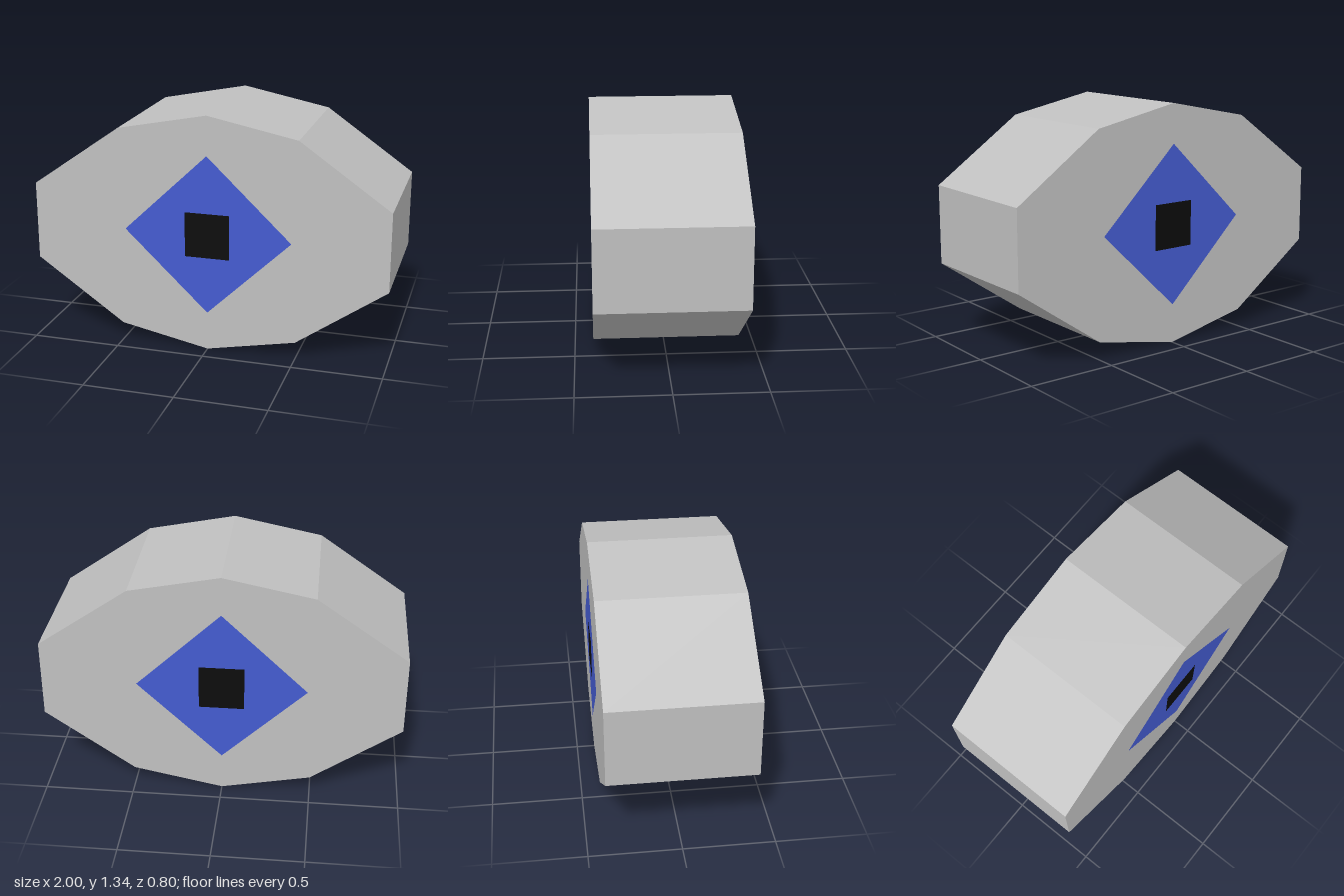
import * as THREE from 'three';

const CENTRE_Y = 0.67;
const HALF_DEPTH = 0.4;

const shapeFrom = (points) => new THREE.Shape(points.map(([x, y]) => new THREE.Vector2(x, y)));

// Slab of the given outline, centred on z = 0
function slab(name, points, halfDepth, material) {
  const geometry = new THREE.ExtrudeGeometry(shapeFrom(points), { depth: 2 * halfDepth, bevelEnabled: false });
  geometry.translate(0, CENTRE_Y, -halfDepth);
  const mesh = new THREE.Mesh(geometry, material);
  mesh.name = name;
  return mesh;
}

export function createModel() {
  const grey = new THREE.MeshStandardMaterial({ name: 'body grey', color: 0xc0c0c0, flatShading: true });
  const blue = new THREE.MeshStandardMaterial({ name: 'iris blue', color: 0x445bd0 });
  const black = new THREE.MeshStandardMaterial({ name: 'pupil black', color: 0x0c0c0c });

  const model = new THREE.Group();
  model.name = 'eyeBlock';

  // Ten-sided body
  const outline = [
    [0, -0.67], [0.5, -0.57], [1, -0.22], [1, 0.22], [0.5, 0.57],
    [0, 0.67], [-0.5, 0.57], [-1, 0.22], [-1, -0.22], [-0.5, -0.57],
  ];
  model.add(slab('body', outline, HALF_DEPTH - 0.002, grey));

  // Painted iris and pupil, the same on the front and the back
  const diamond = [[0, -0.45], [0.47, 0], [0, 0.45], [-0.47, 0]];
  const square = [[-0.125, -0.127], [0.125, -0.127], [0.125, 0.127], [-0.125, 0.127]];
  for (const [side, turn] of [['front', 0], ['back', Math.PI]]) {
    for (const [part, points, z, material] of [
      ['Iris', diamond, HALF_DEPTH, blue],
      ['Pupil', square, HALF_DEPTH + 0.002, black],
    ]) {
      const geometry = new THREE.ShapeGeometry(shapeFrom(points));
      geometry.translate(0, CENTRE_Y, z);
      const mesh = new THREE.Mesh(geometry, material);
      mesh.name = side + part;
      mesh.rotation.y = turn;
      model.add(mesh);
    }
  }
  return model;
}
